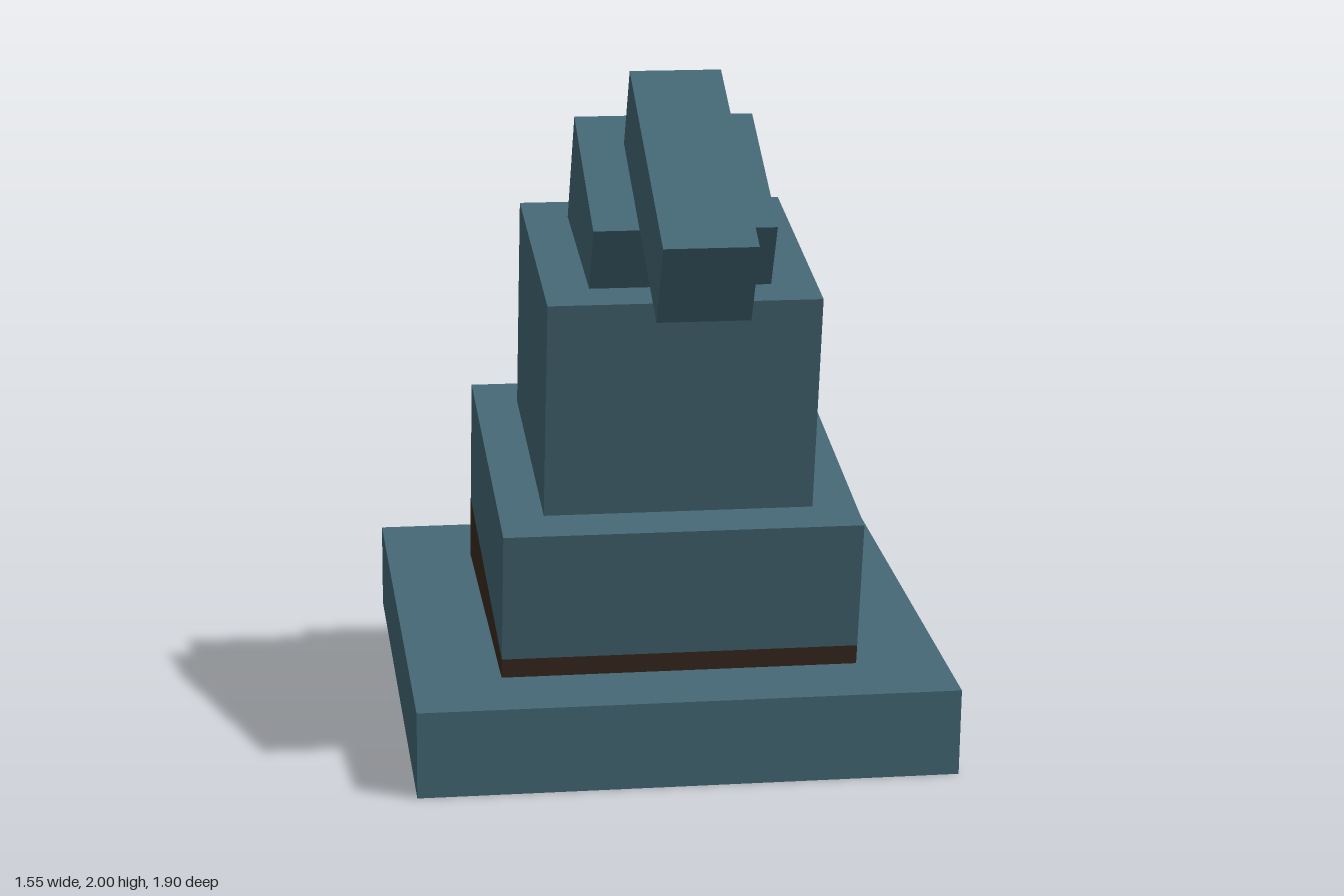
import * as THREE from 'three';

const felt = new THREE.MeshStandardMaterial({ name: 'teal felt', color: 0x446774 });
const leather = new THREE.MeshStandardMaterial({ name: 'dark leather', color: 0x3a2a20 });
const brass = new THREE.MeshStandardMaterial({ name: 'orange brass', color: 0xc67e44 });

// Box given by its size and the centre of its top face
function block(name, material, [w, h, d], [y, z]) {
  const mesh = new THREE.Mesh(new THREE.BoxGeometry(w, h, d).translate(0, -h / 2, 0), material);
  mesh.name = name;
  mesh.position.set(0, y, z);
  return mesh;
}

// Group tipped forward around a point on the centre plane
function tilted(name, degrees, [y, z], ...parts) {
  const group = new THREE.Group();
  group.name = name;
  group.position.set(0, y, z);
  group.rotation.x = THREE.MathUtils.degToRad(degrees);
  group.add(...parts);
  return group;
}

export function createModel() {
  const hat = new THREE.Group();
  hat.name = 'crookedHat';

  // Wide square brim
  const brim = tilted('brimGroup', 5, [0.328, -0.152],
    block('brim', felt, [1.55, 0.257, 1.55], [0, 0]));

  // Lower crown with a flush band and a buckle at the back
  const lower = tilted('lowerCrownGroup', 12.5, [0.83, -0.0225],
    block('lowerCrown', felt, [1.03, 0.389, 1.03], [0, 0]),
    block('band', leather, [1.03, 0.26, 1.03], [-0.389, 0]),
    block('buckle', brass, [0.516, 0.387, 0.128], [-0.257, -0.579]),
    block('buckleSlot', leather, [0.256, 0.125, 0.008], [-0.389, -0.642]));

  // Middle crown
  const middle = tilted('middleCrownGroup', 12.5, [1.4625, 0.1175],
    block('middleCrown', felt, [0.775, 0.655, 0.773], [0, 0]));

  // Bent upper crown with the tip lying along its sloped top
  const upper = tilted('upperCrownGroup', 30, [1.7125, 0.2625],
    block('upperCrown', felt, [0.516, 0.44, 0.515], [0, 0]),
    block('tip', felt, [0.258, 0.257, 0.775], [0.257, 0.258]));

  hat.add(brim, lower, middle, upper);
  return hat;
}
